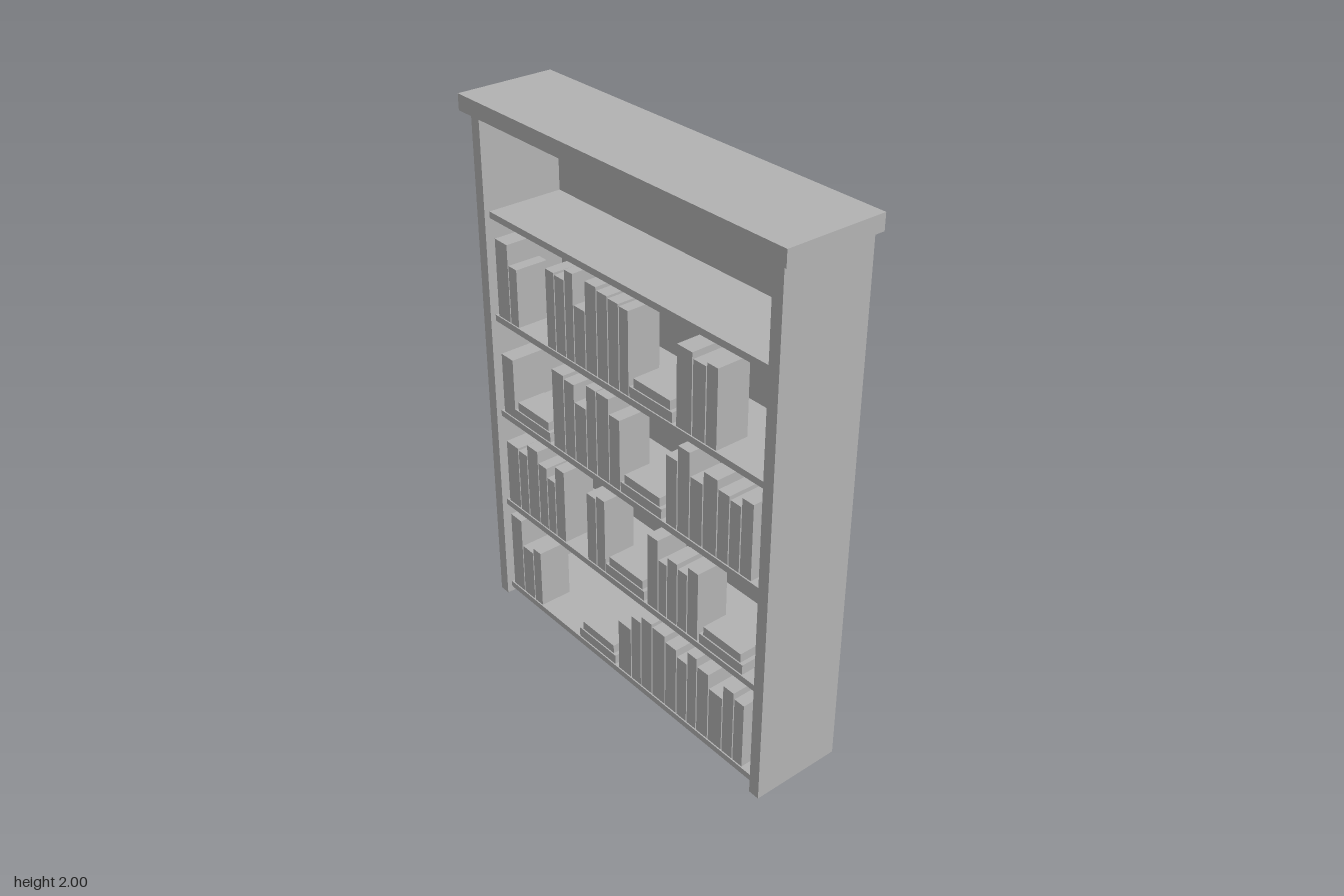
import * as THREE from 'three';

export function createModel() {
  const model = new THREE.Group();
  model.name = 'bookcase';
  const grey = new THREE.MeshStandardMaterial({ color: 0xb3b3b3 });
  grey.name = 'grey';

  // Box given by its limits on each axis
  function box(name, x0, x1, y0, y1, z0, z1) {
    const mesh = new THREE.Mesh(new THREE.BoxGeometry(x1 - x0, y1 - y0, z1 - z0), grey);
    mesh.position.set((x0 + x1) / 2, (y0 + y1) / 2, (z0 + z1) / 2);
    mesh.name = name;
    model.add(mesh);
  }

  // Evenly spaced shelves, numbered from the bottom
  const shelfTop = (i) => 0.046 + 0.3885 * i;

  // Run of upright books from x rightwards, with a small gap between neighbours
  function bookRun(shelf, x, widths, heights) {
    const y = shelfTop(shelf);
    widths.forEach((width, i) => {
      box('uprightBook', x, x + width, y, y + heights[i], 0.008, 0.135);
      x += width + 0.005;
    });
  }

  // Two books lying flat, the upper one smaller
  function lyingStack(shelf, x) {
    const y = shelfTop(shelf);
    box('lowerLyingBook', x - 0.105, x + 0.105, y, y + 0.038, 0.008, 0.135);
    box('upperLyingBook', x - 0.09, x + 0.09, y + 0.038, y + 0.072, 0.018, 0.13);
  }

  // Case
  box('topBoard', -0.767, 0.767, 1.943, 2, -0.185, 0.185);
  box('rightSide', -0.735, -0.692, 0, 1.943, -0.185, 0.16);
  box('leftSide', 0.692, 0.735, 0, 1.943, -0.185, 0.16);
  box('backPanel', -0.692, 0.692, 0.022, 1.943, -0.168, -0.153);
  for (let i = 0; i < 5; i++) {
    box('shelf', -0.692, 0.692, shelfTop(i) - 0.024, shelfTop(i), -0.153, 0.14);
  }

  // Bottom shelf
  bookRun(0, -0.677, [0.065, 0.062, 0.045], [0.324, 0.214, 0.239]);
  lyingStack(0, -0.155);
  bookRun(0, -0.028,
    [0.068, 0.05, 0.055, 0.065, 0.055, 0.05, 0.045, 0.055, 0.065, 0.05, 0.045],
    [0.214, 0.279, 0.309, 0.3, 0.279, 0.254, 0.309, 0.279, 0.224, 0.284, 0.264]);

  // Second shelf
  bookRun(1, -0.677, [0.07, 0.05, 0.062, 0.047, 0.043, 0.052],
    [0.261, 0.256, 0.306, 0.261, 0.226, 0.296]);
  bookRun(1, -0.197, [0.049, 0.045], [0.281, 0.296]);
  lyingStack(1, 0.01);
  bookRun(1, 0.135, [0.052, 0.04, 0.048, 0.045, 0.05], [0.291, 0.216, 0.251, 0.236, 0.271]);
  lyingStack(1, 0.505);

  // Third shelf
  bookRun(2, -0.677, [0.067], [0.237]);
  lyingStack(2, -0.505);
  bookRun(2, -0.375, [0.063, 0.053, 0.06, 0.05, 0.062, 0.053],
    [0.307, 0.297, 0.232, 0.327, 0.327, 0.272]);
  lyingStack(2, 0.1);
  bookRun(2, 0.228, [0.052, 0.055, 0.057, 0.063, 0.05, 0.047, 0.05],
    [0.262, 0.322, 0.237, 0.287, 0.257, 0.247, 0.282]);

  // Fourth shelf
  bookRun(3, -0.677, [0.069, 0.045], [0.293, 0.218]);
  bookRun(3, -0.39, [0.045, 0.05, 0.042, 0.056, 0.056, 0.052, 0.051, 0.044],
    [0.288, 0.283, 0.323, 0.213, 0.323, 0.313, 0.308, 0.303]);
  lyingStack(3, 0.15);
  bookRun(3, 0.275, [0.07, 0.057, 0.048], [0.288, 0.268, 0.283]);

  return model;
}
